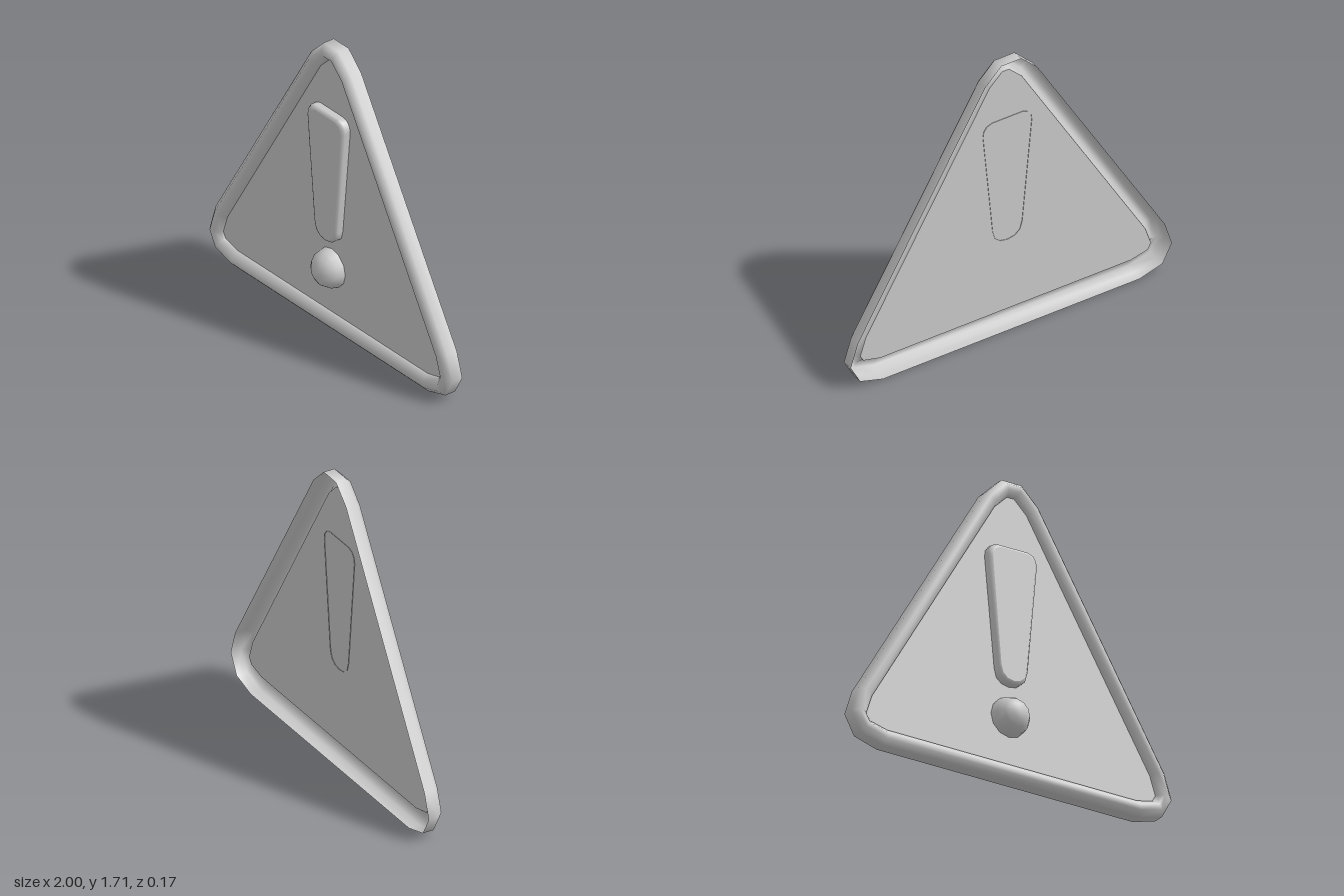
import * as THREE from 'three';

const material = new THREE.MeshStandardMaterial({ color: 0xcccccc, side: THREE.DoubleSide });
const PANEL_Z = -0.03;

// Closed counter-clockwise outline from its right half, listed bottom to top.
const mirror = (half) => [
  ...half,
  ...half.filter(([x]) => x > 0).reverse().map(([x, y]) => [-x, y]),
];

// Skin between rings of equal length; each ring is a list of [x, y, z].
function loft(rings) {
  const n = rings[0].length;
  const index = [];
  for (let i = 0; i < rings.length - 1; i++) {
    for (let j = 0; j < n; j++) {
      const k = (j + 1) % n;
      const a = i * n + j, b = i * n + k, c = (i + 1) * n + k, d = (i + 1) * n + j;
      index.push(a, b, c, a, c, d);
    }
  }
  const geometry = new THREE.BufferGeometry();
  geometry.setAttribute('position', new THREE.Float32BufferAttribute(rings.flat(2), 3));
  geometry.setIndex(index);
  geometry.computeVertexNormals();
  return geometry;
}

function flatFace(outline, z) {
  const shape = new THREE.Shape(outline.map(([x, y]) => new THREE.Vector2(x, y)));
  return new THREE.ShapeGeometry(shape).translate(0, 0, z);
}

function addPart(parent, name, geometry) {
  const mesh = new THREE.Mesh(geometry, material);
  mesh.name = name;
  parent.add(mesh);
  return mesh;
}

export function createModel() {
  const model = new THREE.Group();
  model.name = 'warningSign';

  // Outer and inner edge of the triangular rim
  const outer = mirror([[0.8, 0], [0.94, 0.04], [1, 0.15], [0.955, 0.29], [0.165, 1.61], [0.062, 1.71]]);
  const inner = mirror([[0.78, 0.095], [0.885, 0.12], [0.905, 0.155], [0.87, 0.26], [0.1, 1.55], [0.022, 1.625]]);

  // Rim: a hollow shell, open at the back; [share of the way inwards, z]
  const profile = [[0, -0.085], [0, -0.02], [0.33, 0.01], [0.67, 0.01], [0.95, -0.015], [1, PANEL_Z]];
  const rim = profile.map(([t, z]) => outer.map(([x, y], j) => [
    x + (inner[j][0] - x) * t,
    y + (inner[j][1] - y) * t,
    z,
  ]));
  addPart(model, 'rim', loft(rim));

  // Recessed sheet inside the rim
  addPart(model, 'panel', flatFace(inner, PANEL_Z));

  // Tapered bar of the exclamation mark
  const bar = new THREE.Group();
  bar.name = 'exclamationBar';
  bar.position.x = -0.01;
  model.add(bar);
  const barOutline = mirror([
    [0, 0.54], [0.045, 0.548], [0.078, 0.575], [0.092, 0.625],
    [0.152, 1.25], [0.147, 1.285], [0.128, 1.31], [0.095, 1.322],
  ]);
  const inset = (d) => barOutline.map(([x, y]) => [
    x * (1 - d / 0.13),
    0.93 + (y - 0.93) * (1 - d / 0.39),
  ]);
  const barRings = [[0, PANEL_Z - 0.003], [0, 0.002], [0.006, 0.014], [0.018, 0.02]]
    .map(([d, z]) => inset(d).map(([x, y]) => [x, y, z]));
  addPart(bar, 'barSide', loft(barRings));
  addPart(bar, 'barFace', flatFace(inset(0.018), 0.02));

  // Domed dot below the bar
  const dome = new THREE.SphereGeometry(0.112, 12, 4, 0, Math.PI * 2, 0, Math.PI / 2);
  dome.rotateX(Math.PI / 2);
  addPart(model, 'exclamationDot', dome).position.set(-0.01, 0.365, PANEL_Z);

  return model;
}
